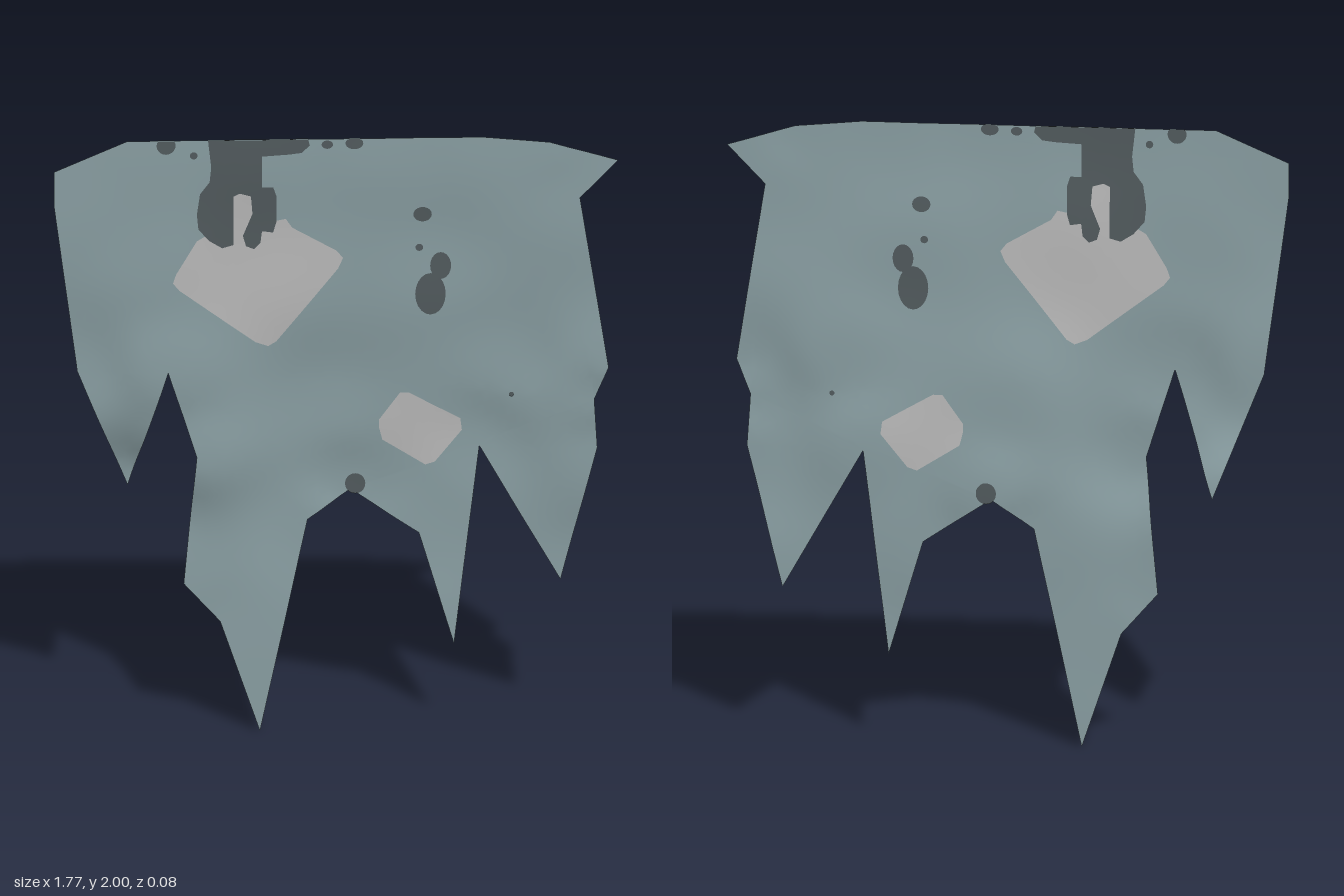
import * as THREE from 'three';
import { mergeVertices } from 'three/addons/utils/BufferGeometryUtils.js';

// Depth of the rippled cloth at known points: x, y, z
const RIPPLE = [
  [-0.89, 1.9, 0.035], [-0.89, 1.79, 0.035], [-0.66, 2, 0.035], [-0.3, 2, 0.035], [0.1, 2, 0.035],
  [0.46, 2, 0.035], [0.67, 1.98, 0.035], [0.885, 1.915, 0.03], [0.765, 1.79, 0.03],
  [0.855, 1.22, 0.03], [0.81, 1.11, 0.02], [0.82, 0.945, 0.01], [0.705, 0.495, -0.015],
  [0.45, 0.945, -0.02], [0.37, 0.285, -0.012], [0.26, 0.655, -0.022], [0.045, 0.8, -0.035],
  [-0.09, 0.705, -0.02], [-0.24, 0.01, -0.012], [-0.365, 0.37, -0.01], [-0.48, 0.5, -0.005],
  [-0.44, 0.935, 0.03], [-0.53, 1.22, 0.035], [-0.655, 0.82, -0.042], [-0.815, 1.22, 0.005],
  [-0.6, 1.6, 0.03], [-0.2, 1.55, 0.02], [0.3, 1.55, 0.015], [0, 1.1, -0.015], [0.55, 1.25, 0],
];

function depth(x, y) {
  let sum = 0, total = 0;
  for (const [px, py, pz] of RIPPLE) {
    const w = 1 / ((x - px) ** 2 + (y - py) ** 2 + 0.0015) ** 1.5;
    sum += w * pz;
    total += w;
  }
  return sum / total;
}

// Fill an outline, split long edges, then drape it over the ripple
function drape(points, offset) {
  const flat = new THREE.ShapeGeometry(new THREE.Shape(points)).toNonIndexed().attributes.position;
  const out = [];
  const split = (a, b, c) => {
    const ab = a.distanceTo(b), bc = b.distanceTo(c), ca = c.distanceTo(a);
    const longest = Math.max(ab, bc, ca);
    if (longest < 0.05) {
      for (const p of [a, b, c]) out.push(p.x, p.y, depth(p.x, p.y) + offset);
      return;
    }
    if (bc === longest) [a, b, c] = [b, c, a];
    else if (ca === longest) [a, b, c] = [c, a, b];
    const m = a.clone().add(b).multiplyScalar(0.5);
    split(a, m, c);
    split(m, b, c);
  };
  for (let i = 0; i < flat.count; i += 3) {
    split(...[0, 1, 2].map(k => new THREE.Vector2(flat.getX(i + k), flat.getY(i + k))));
  }
  const g = new THREE.BufferGeometry();
  g.setAttribute('position', new THREE.Float32BufferAttribute(out, 3));
  const merged = mergeVertices(g, 1e-5);
  merged.computeVertexNormals();
  return merged;
}

// Outlines are written in hundredths of a unit
const outline = list => list.map(([x, y]) => new THREE.Vector2(x / 100, y / 100));

function blob(x, y, rx, ry) {
  const pts = [];
  for (let i = 0; i < 20; i++) {
    const a = i / 20 * Math.PI * 2;
    pts.push([x + rx * Math.cos(a), Math.min(200, y + ry * Math.sin(a))]);
  }
  return outline(pts);
}

export function createModel() {
  const group = new THREE.Group();
  group.name = 'tornBanner';
  const mat = (name, color) => {
    const m = new THREE.MeshStandardMaterial({ color, side: THREE.DoubleSide });
    m.name = name;
    return m;
  };
  const clothMat = mat('greyBlueCloth', 0x8a9fa3);
  const patchMat = mat('paleGreyPatch', 0xbababa);
  const stainMat = mat('darkStain', 0x525b5e);

  const add = (name, points, material, offset) => {
    const mesh = new THREE.Mesh(drape(points, offset), material);
    mesh.name = name;
    group.add(mesh);
  };
  // Marks soak through, so they show on both faces
  const addBothSides = (name, points, material, offset) => {
    add(name + 'Front', points, material, offset);
    add(name + 'Back', points, material, -offset);
  };

  // Torn cloth
  add('cloth', outline([
    [-89, 190], [-89, 179], [-81.5, 122], [-65.5, 82], [-53, 122], [-44, 93.5], [-48, 50],
    [-36.5, 37], [-24, 0], [-9, 70.5], [4.5, 80], [26, 65.5], [37, 28.5], [45, 94.5],
    [70.5, 49.5], [82, 94.5], [81, 111], [85.5, 122], [76.5, 179], [88.5, 191.5],
    [67, 198], [46, 200], [-66, 200],
  ]), clothMat, 0);

  // Sewn patches
  addBothSides('largePatch', outline([
    [-51.5, 152], [-50.5, 155], [-44, 166], [-41.5, 167.5], [-33, 169], [-32.5, 182], [-27, 182],
    [-26, 171], [-16, 173], [-14, 170], [0, 162], [2, 159.5], [0.5, 156], [-19, 131.5],
    [-21.5, 130], [-25.5, 131.5], [-49.5, 149.5],
  ]), patchMat, 0.002);
  addBothSides('smallPatch', outline([
    [13.5, 101], [13.5, 104], [20, 113], [23, 113], [39, 104], [39.5, 100], [31, 89.5],
    [28, 88.5], [14.5, 97],
  ]), patchMat, 0.002);

  // Dripping stain from the top edge
  addBothSides('drippingStain', outline([
    [-40.5, 200], [-39.5, 191], [-40, 186], [-43, 182], [-44, 175], [-43.5, 170], [-40, 166],
    [-36, 163.5], [-32.5, 164.5], [-32.5, 172], [-32.5, 181], [-30.5, 182], [-27, 181],
    [-26.5, 175], [-29.5, 167.5], [-28.5, 164], [-26, 163], [-24, 165], [-23.5, 169],
    [-20, 168.5], [-19, 172], [-19, 181], [-20, 184], [-23.5, 184], [-23.5, 194.5],
    [-15, 195], [-11, 195.5], [-8.5, 198], [-9, 200],
  ]), stainMat, 0.004);

  // Splashes: x, y, half width, half height
  [
    [-53.7, 198.5, 3, 3], [-45, 195, 1.2, 1.2], [-3, 198.2, 1.8, 1.4], [5.5, 198.6, 2.8, 2],
    [27, 174, 2.9, 2.5], [26, 162.7, 1.2, 1.2], [32.7, 156.5, 3.3, 4.5], [29.5, 147, 4.8, 7],
    [6, 82, 3.2, 3.4], [55, 112.5, 0.8, 0.8],
  ].forEach((s, i) => addBothSides('splash' + (i + 1), blob(...s), stainMat, 0.004 + i * 0.00002));

  return group;
}
